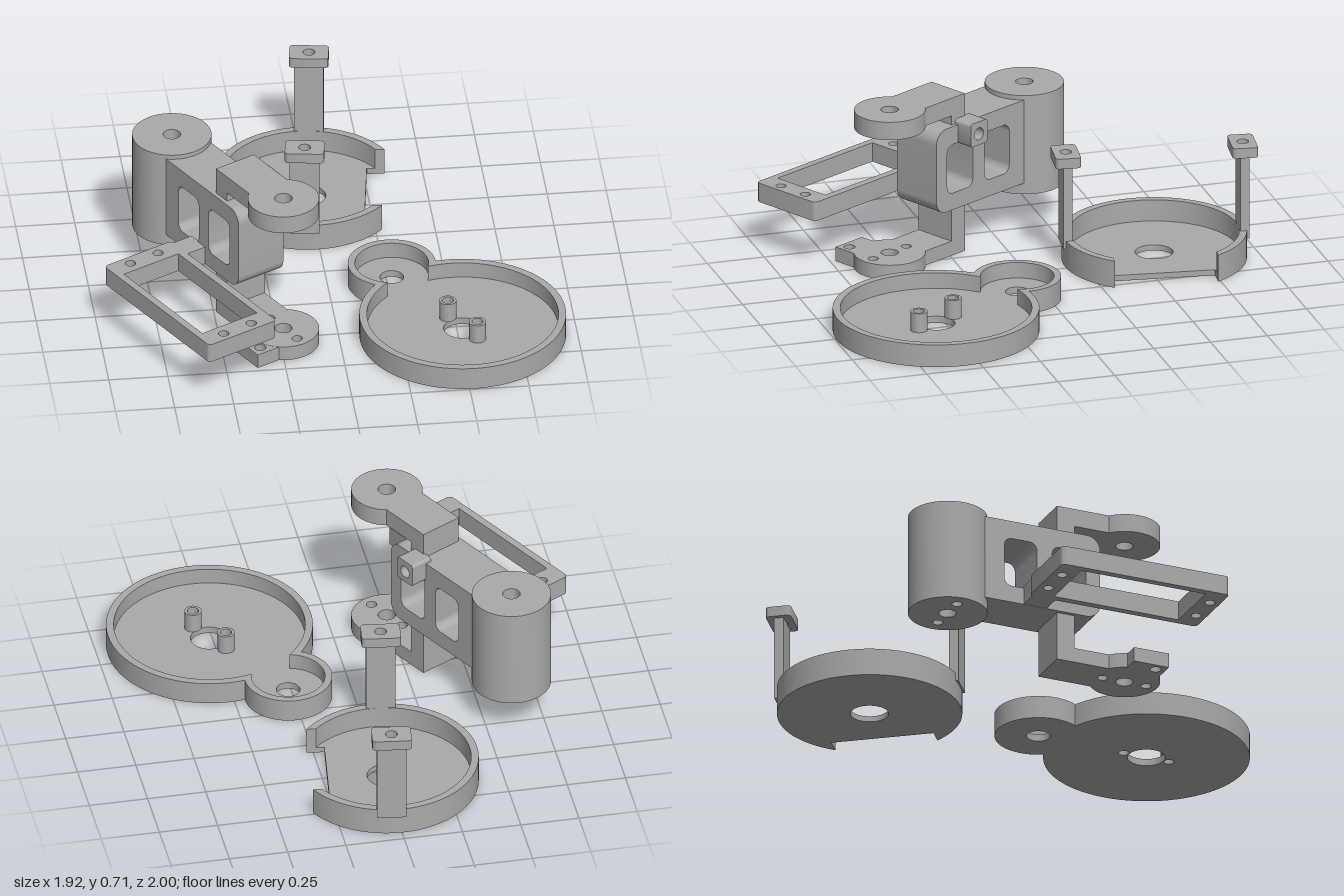
import * as THREE from 'three';
import { toCreasedNormals } from 'three/addons/utils/BufferGeometryUtils.js';

const plastic = new THREE.MeshStandardMaterial({ color: 0xaaaaaa });
plastic.name = 'grey plastic';

function addMesh(parent, name, geometry) {
  const mesh = new THREE.Mesh(toCreasedNormals(geometry, 0.5), plastic);
  mesh.name = name;
  parent.add(mesh);
  return mesh;
}

const extrude = (shape, depth) =>
  new THREE.ExtrudeGeometry(shape, { depth, bevelEnabled: false, curveSegments: 40 });

// Flat plate: shape x stays x, shape y becomes z
function plate(parent, name, shape, y0, y1) {
  return addMesh(parent, name, extrude(shape, y1 - y0).rotateX(Math.PI / 2).translate(0, y1, 0));
}

// Side profile: shape x becomes z, shape y stays y, extruded across x
function slab(parent, name, shape, x0, x1) {
  return addMesh(parent, name, extrude(shape, x1 - x0).rotateY(-Math.PI / 2).translate(x1, 0, 0));
}

// Rectangle with corner radii, listed from the lower left corner counter-clockwise
function rect(x0, y0, x1, y1, radii = 0) {
  const [a, b, c, d] = Array.isArray(radii) ? radii : [radii, radii, radii, radii];
  const s = new THREE.Shape();
  s.moveTo(x0 + a, y0);
  s.lineTo(x1 - b, y0);
  if (b) s.absarc(x1 - b, y0 + b, b, -Math.PI / 2, 0, false);
  s.lineTo(x1, y1 - c);
  if (c) s.absarc(x1 - c, y1 - c, c, 0, Math.PI / 2, false);
  s.lineTo(x0 + d, y1);
  if (d) s.absarc(x0 + d, y1 - d, d, Math.PI / 2, Math.PI, false);
  s.lineTo(x0, y0 + a);
  if (a) s.absarc(x0 + a, y0 + a, a, Math.PI, Math.PI * 1.5, false);
  return s;
}

function circle(x, y, r) {
  const s = new THREE.Shape();
  s.absarc(x, y, r, 0, Math.PI * 2, false);
  return s;
}

function withHoles(shape, ...holes) {
  shape.holes.push(...holes);
  return shape;
}

// Outline of two overlapping circles, the second at (d, 0)
function twinCircle(R, r, d) {
  const a = Math.acos((d * d + R * R - r * r) / (2 * d * R));
  const b = Math.PI - Math.acos((d * d + r * r - R * R) / (2 * d * r));
  const s = new THREE.Shape();
  s.absarc(0, 0, R, a, Math.PI * 2 - a, false);
  s.absarc(d, 0, r, -b, b, false);
  return s;
}

function createGearTray() {
  const g = new THREE.Group();
  g.name = 'gearTray';
  const d = 0.502;
  plate(g, 'trayFloor', withHoles(twinCircle(0.435, 0.185, d), circle(0, 0, 0.08),
    circle(d, 0, 0.05), circle(0.105, 0, 0.022), circle(-0.105, 0, 0.022)), 0, 0.03);
  plate(g, 'trayRim', withHoles(twinCircle(0.435, 0.185, d), twinCircle(0.403, 0.155, d)), 0.03, 0.1);
  for (const x of [-0.105, 0.105]) {
    plate(g, 'screwPost', withHoles(circle(x, 0, 0.036), circle(x, 0, 0.024)), 0.03, 0.115);
  }
  g.position.set(0.52, 0, 0.56);
  g.rotation.y = 2.092;
  return g;
}

function createCover() {
  const g = new THREE.Group();
  g.name = 'cutCover';
  const R = 0.39, r = 0.358, cutX = 0.247, cutZ = 0.22;
  const a = Math.asin(cutZ / R), b = Math.asin(cutZ / r), full = Math.PI * 2;
  const floor = new THREE.Shape();
  floor.absarc(0, 0, R, a, full - a, false);
  floor.lineTo(cutX, -cutZ);
  floor.lineTo(cutX, cutZ);
  plate(g, 'coverFloor', withHoles(floor, circle(0, 0, 0.08)), 0, 0.025);
  const rim = new THREE.Shape();
  rim.absarc(0, 0, R, a, full - a, false);
  rim.absarc(0, 0, r, full - b, b, true);
  plate(g, 'coverRim', rim, 0.025, 0.12);
  // Two upright posts, each with a drilled tab on top
  for (const side of [-1, 1]) {
    const z = side * 0.377;
    addMesh(g, 'post', new THREE.BoxGeometry(0.125, 0.375, 0.04).translate(0, 0.2725, z));
    plate(g, 'postTab', withHoles(rect(-0.083, z - 0.054, 0.083, z + 0.054, 0.018),
      circle(0, z, 0.025)), 0.455, 0.5);
  }
  g.position.set(-0.01, 0, -0.565);
  g.rotation.y = -0.139;
  return g;
}

// Straight arm running into a round end
function armOutline(z0, w, cz, r) {
  const a = Math.asin(w / r);
  const s = new THREE.Shape();
  s.moveTo(-w, z0);
  s.lineTo(w, z0);
  s.absarc(0, cz, r, a - Math.PI / 2, Math.PI * 1.5 - a, false);
  s.lineTo(-w, z0);
  return s;
}

function createArm() {
  const g = new THREE.Group();
  g.name = 'armAssembly';
  const hub = 0.814;

  // Pivot barrel, with two blind holes underneath
  plate(g, 'barrel', withHoles(circle(0, 0, 0.167), circle(0, 0, 0.037)), 0.2, 0.61);
  plate(g, 'barrelBase', withHoles(circle(0, 0, 0.167), circle(0, 0, 0.037),
    circle(-0.1, 0, 0.022), circle(0.1, 0, 0.022)), 0.165, 0.2);

  // Main block with two rounded windows
  slab(g, 'armBlock', withHoles(rect(0.1, 0.215, 0.65, 0.59, [0, 0.06, 0.06, 0]),
    rect(0.21, 0.29, 0.36, 0.51, 0.035), rect(0.43, 0.29, 0.585, 0.51, 0.035)), -0.115, 0.115);

  // Upper and lower fork arms with their short columns
  plate(g, 'upperArm', withHoles(armOutline(0.46, 0.097, hub, 0.15), circle(0, hub, 0.037)), 0.63, 0.71);
  plate(g, 'upperColumn', rect(-0.097, 0.46, 0.097, 0.54), 0.585, 0.63);
  plate(g, 'lowerArm', withHoles(armOutline(0.46, 0.097, hub, 0.15), circle(0, hub, 0.037),
    circle(0, hub + 0.1, 0.022), circle(0, hub - 0.1, 0.022)), 0, 0.065);
  plate(g, 'lowerColumn', rect(-0.097, 0.46, 0.097, 0.54), 0.065, 0.22);

  // Drilled ear beside the lower round end
  const ear = new THREE.Shape();
  ear.moveTo(-0.13, 0.765);
  ear.lineTo(-0.21, 0.765);
  ear.lineTo(-0.21, 0.925);
  ear.lineTo(-0.07, 0.925);
  ear.lineTo(-0.13, 0.85);
  plate(g, 'lowerEar', withHoles(ear, circle(-0.168, 0.883, 0.024)), 0, 0.064);

  // Small drilled lug on the side
  slab(g, 'sideLug', withHoles(rect(0.42, 0.505, 0.52, 0.61, 0.012), circle(0.47, 0.555, 0.027)), 0.09, 0.19);

  // Motor frame and the strip that joins it to the block
  const holes = [];
  for (const x of [-0.446, -0.304]) for (const z of [0.33, 1.01]) holes.push(circle(x, z, 0.022));
  plate(g, 'motorFrame', withHoles(rect(-0.55, 0.285, -0.205, 1.053, 0.02),
    rect(-0.518, 0.385, -0.238, 0.957), ...holes), 0.215, 0.3);
  plate(g, 'frameStrip', rect(-0.207, 0.3, -0.11, 0.405), 0.216, 0.299);

  g.position.set(-0.625, 0, -0.185);
  g.rotation.y = 0.4995;
  return g;
}

export function createModel() {
  const model = new THREE.Group();
  model.name = 'printedMechanismParts';
  model.add(createGearTray(), createCover(), createArm());
  return model;
}
